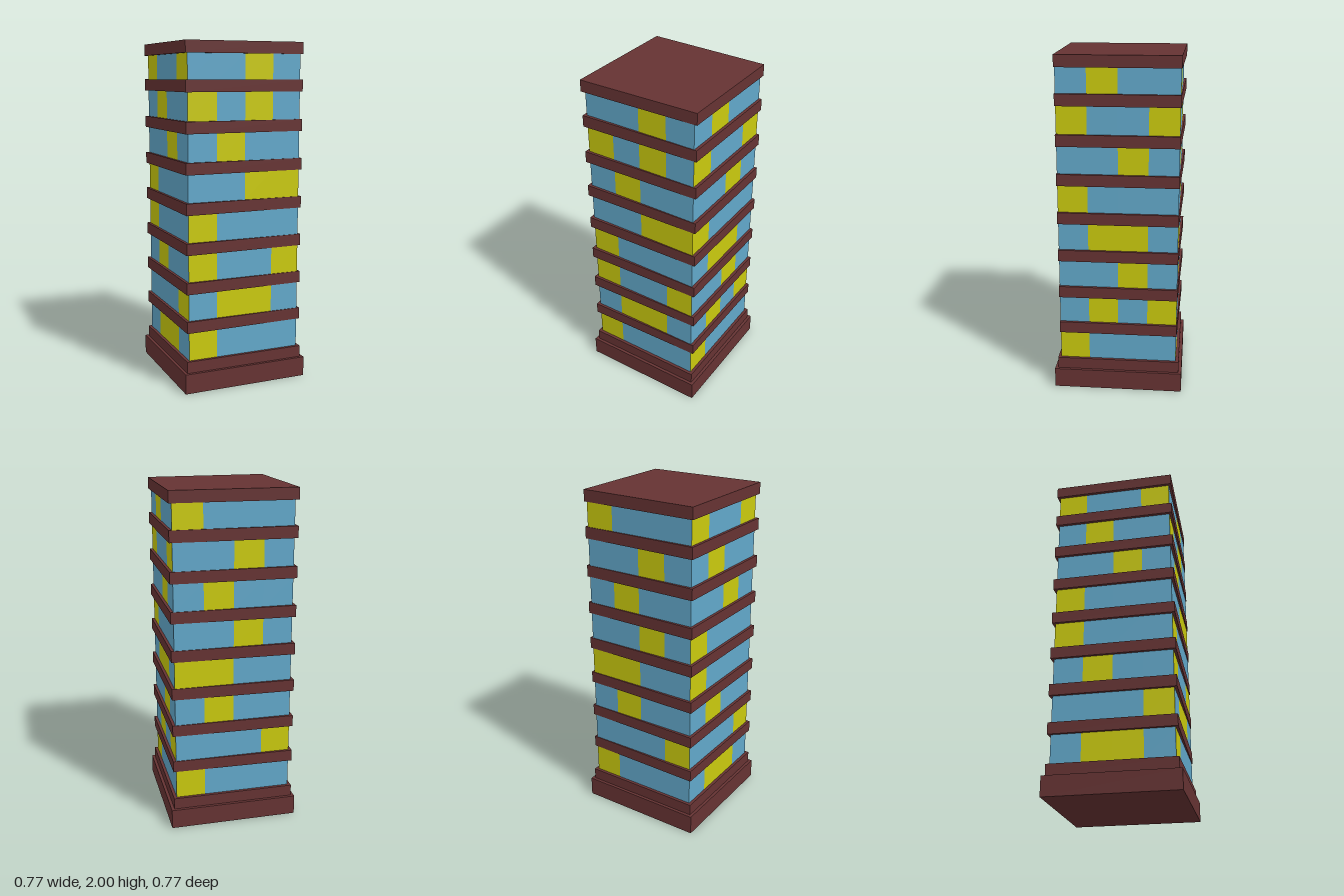
import * as THREE from 'three';

const HALF = 0.347;   // half width of the glazed tower
const SLAB_H = 0.068;
const SLAB_TOPS = [0.185, 0.422, 0.65, 0.878, 1.106, 1.333, 1.56, 1.788, 2];

// Lit windows per floor, bottom to top; each row runs left to right seen from outside
const FACES = [
  { name: 'frontWindows', turn: 0,
    rows: ['Y...', '.YY.', 'Y..Y', 'Y...', '..YY', '.Y..', 'Y.Y.', '..Y.'] },
  { name: 'leftWindows', turn: Math.PI / 2,
    rows: ['Y...', '.Y.Y', '..Y.', '.YY.', 'Y...', '..Y.', 'Y..Y', '.Y..'] },
  { name: 'backWindows', turn: Math.PI,
    rows: ['Y...', '...Y', '.Y..', 'YY..', '..Y.', '.Y..', '..Y.', 'Y...'] },
  { name: 'rightWindows', turn: -Math.PI / 2,
    rows: ['.YY.', '...Y', '.Y..', 'Y...', 'Y...', '..Y.', '.Y..', 'Y..Y'] },
];

// Floor slab, slightly narrower in depth towards +x
function taperedSlab(half, endHalf) {
  const geo = new THREE.BoxGeometry(half * 2, SLAB_H, half * 2);
  const pos = geo.attributes.position;
  for (let i = 0; i < pos.count; i++) {
    if (pos.getX(i) > 0) pos.setZ(i, Math.sign(pos.getZ(i)) * endHalf);
  }
  geo.computeVertexNormals();
  return geo;
}

export function createModel() {
  const group = new THREE.Group();
  const brown = new THREE.MeshStandardMaterial({ color: 0x663333 });
  const blue = new THREE.MeshStandardMaterial({ color: 0x62a8ca });
  const yellow = new THREE.MeshStandardMaterial({ color: 0xcaca0e });

  const add = (parent, name, geo, mat, x, y, z) => {
    const mesh = new THREE.Mesh(geo, mat);
    mesh.name = name;
    mesh.position.set(x, y, z);
    parent.add(mesh);
  };

  // Plinth
  add(group, 'base', new THREE.BoxGeometry(0.766, 0.117, 0.766), brown, 0, 0.0585, 0);

  // Slabs: a square one on the plinth, tapered ones above
  const square = taperedSlab(0.365, 0.365);
  const tapered = taperedSlab(0.364, 0.35);
  SLAB_TOPS.forEach((top, i) => {
    const name = i === 0 ? 'groundSlab' : i === SLAB_TOPS.length - 1 ? 'roofSlab' : 'floorSlab';
    add(group, name, i === 0 ? square : tapered, brown, 0, top - SLAB_H / 2, 0);
  });

  // Window bands: four panes per floor on each side
  const paneW = HALF / 2;
  for (const { name, turn, rows } of FACES) {
    const face = new THREE.Group();
    face.name = name;
    face.rotation.y = turn;
    rows.forEach((row, floor) => {
      const bottom = SLAB_TOPS[floor];
      const height = SLAB_TOPS[floor + 1] - SLAB_H - bottom;
      const pane = new THREE.PlaneGeometry(paneW, height);
      [...row].forEach((c, col) => {
        const lit = c === 'Y';
        add(face, lit ? 'litWindow' : 'window', pane, lit ? yellow : blue,
          (col - 1.5) * paneW, bottom + height / 2, HALF);
      });
    });
    group.add(face);
  }
  return group;
}
